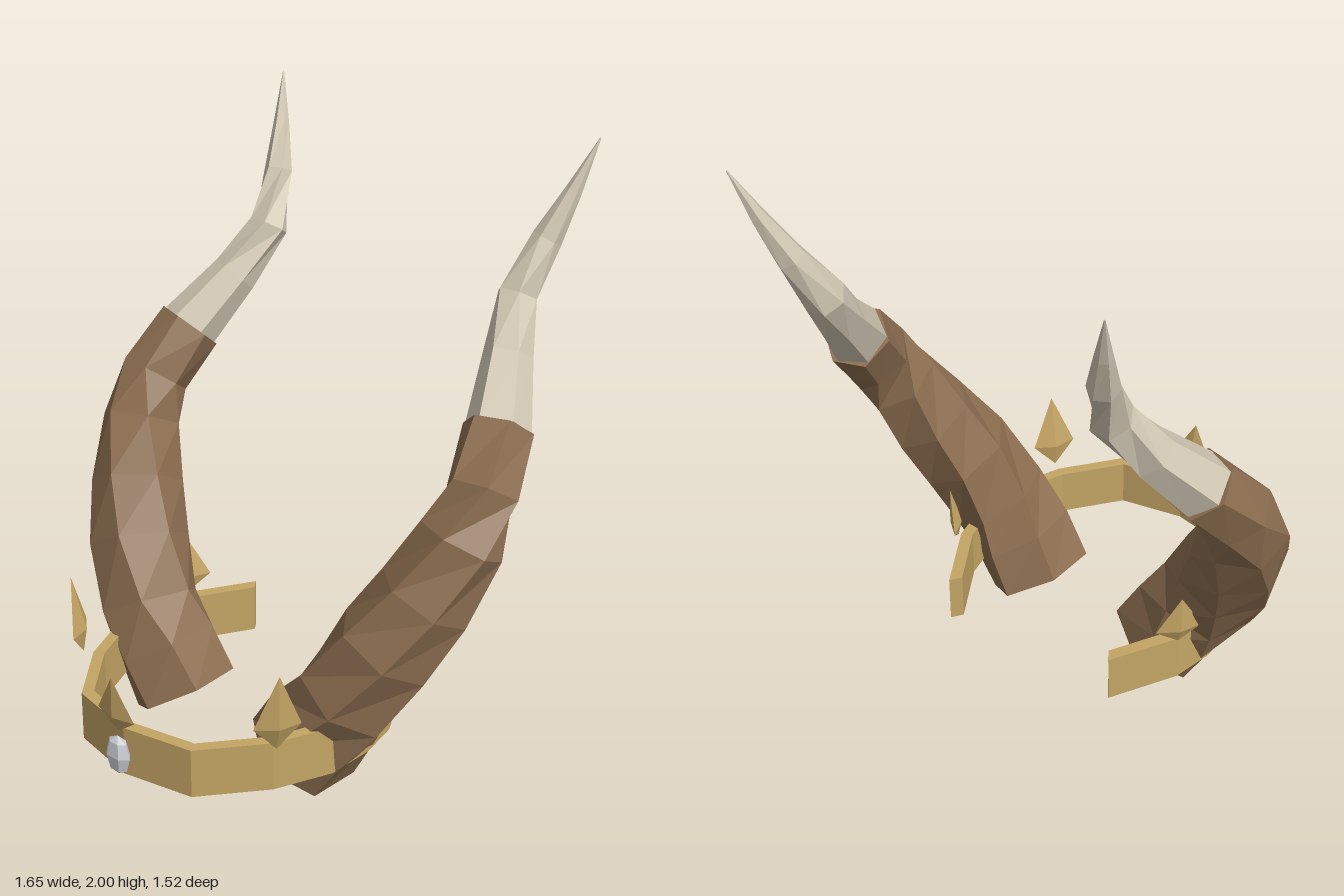
import * as THREE from 'three';

const mat = (name, color) => {
  const m = new THREE.MeshStandardMaterial({ color, flatShading: true });
  m.name = name;
  return m;
};

// Six-sided tube through rings [x, y, z, radius]; each ring stays level with the ground
function hexTube(rings, side) {
  const up = new THREE.Vector3(0, 1, 0), N = 6;
  const centres = rings.map(r => new THREE.Vector3(r[0] * side, r[1], r[2]));
  const loops = rings.map((r, k) => {
    const t = centres[Math.min(k + 1, rings.length - 1)].clone()
      .sub(centres[Math.max(k - 1, 0)]).normalize();
    const s = t.clone().cross(up).normalize();
    const u = s.clone().cross(t);
    return Array.from({ length: N }, (_, i) => {
      const a = i / N * Math.PI * 2;
      return centres[k].clone().addScaledVector(s, Math.cos(a) * r[3]).addScaledVector(u, -Math.sin(a) * r[3]);
    });
  });
  const pts = [], last = rings.length - 1;
  for (let i = 0; i < N; i++) {
    const j = (i + 1) % N;
    for (let k = 0; k < last; k++) {
      const [a, b, c, d] = [loops[k][i], loops[k][j], loops[k + 1][j], loops[k + 1][i]];
      pts.push(a, b, c, a, c, d);
    }
    pts.push(centres[0], loops[0][j], loops[0][i]);
    pts.push(centres[last], loops[last][i], loops[last][j]);
  }
  const g = new THREE.BufferGeometry().setFromPoints(pts);
  g.computeVertexNormals();
  return g;
}

// Flattened diamond, widest near its foot, leaning slightly outward
function spikeGeometry(halfWidth, below, above, thick) {
  const g = new THREE.OctahedronGeometry(1);
  const p = g.attributes.position;
  for (let i = 0; i < p.count; i++) {
    const y = p.getY(i) * (p.getY(i) > 0 ? above : below);
    p.setXYZ(i, p.getX(i) * halfWidth, y, p.getZ(i) * thick + y * 0.12);
  }
  g.computeVertexNormals();
  return g;
}

export function createModel() {
  const model = new THREE.Group();
  model.name = 'hornedCirclet';
  const horn = mat('brownHorn', 0x8c6e50);
  const ivory = mat('ivory', 0xd2c8b4);
  const gold = mat('gold', 0xc4a564);
  const crystal = mat('crystal', 0xcdd0d6);

  const add = (name, geometry, material) => {
    const m = new THREE.Mesh(geometry, material);
    m.name = name;
    model.add(m);
    return m;
  };

  // Horns: brown shaft and pale tip
  const shaft = [
    [0.27, 0.085, 0.165, 0.187], [0.355, 0.225, 0.168, 0.185], [0.445, 0.355, 0.155, 0.175],
    [0.545, 0.54, 0.1, 0.172], [0.63, 0.71, 0.02, 0.158], [0.695, 0.895, -0.07, 0.14],
    [0.705, 1.035, -0.155, 0.12], [0.66, 1.19, -0.285, 0.113],
  ];
  const tip = [
    [0.662, 1.185, -0.28, 0.104], [0.58, 1.36, -0.43, 0.08], [0.525, 1.52, -0.545, 0.069],
    [0.562, 1.69, -0.635, 0.049], [0.606, 1.84, -0.7, 0.027], [0.65, 2, -0.76, 0.002],
  ];
  for (const [label, side] of [['left', 1], ['right', -1]]) {
    add(label + 'HornShaft', hexTube(shaft, side), horn);
    add(label + 'HornTip', hexTube(tip, side), ivory);
  }

  // Circlet: faceted band, open at the back
  const half = [[0.245, 0.66], [0.405, 0.46], [0.485, 0.27], [0.49, 0.1], [0.46, -0.045], [0.335, -0.265]];
  const outer = [...half.map(([x, z]) => [-x, z]).reverse(), [0, 0.71], ...half];
  const inner = outer.map(([x, z]) => [x * 0.92, 0.2 + (z - 0.2) * 0.92]).reverse();
  const outline = new THREE.Shape([...outer, ...inner].map(([x, z]) => new THREE.Vector2(x, z)));
  const band = new THREE.ExtrudeGeometry(outline, { depth: 0.17, bevelEnabled: false });
  band.rotateX(Math.PI / 2).translate(0, 0.3, 0);
  add('circletBand', band, gold);

  // Spikes along the band
  const small = spikeGeometry(0.08, 0.06, 0.14, 0.02);
  const large = spikeGeometry(0.077, 0.085, 0.19, 0.024);
  add('frontSpike', small, gold).position.set(0, 0.36, 0.737);
  for (const [label, side] of [['left', 1], ['right', -1]]) {
    const mid = add(label + 'SideSpike', large, gold);
    mid.position.set(0.442 * side, 0.387, 0.482);
    mid.rotation.y = 1.02 * side;
    const back = add(label + 'BackSpike', small, gold);
    back.position.set(0.47 * side, 0.36, -0.058);
    back.rotation.y = 2.2 * side;
  }

  // Front gem
  const gem = add('frontGem', new THREE.SphereGeometry(1, 6, 4), crystal);
  gem.scale.set(0.052, 0.07, 0.029);
  gem.position.set(0, 0.215, 0.735);

  return model;
}
